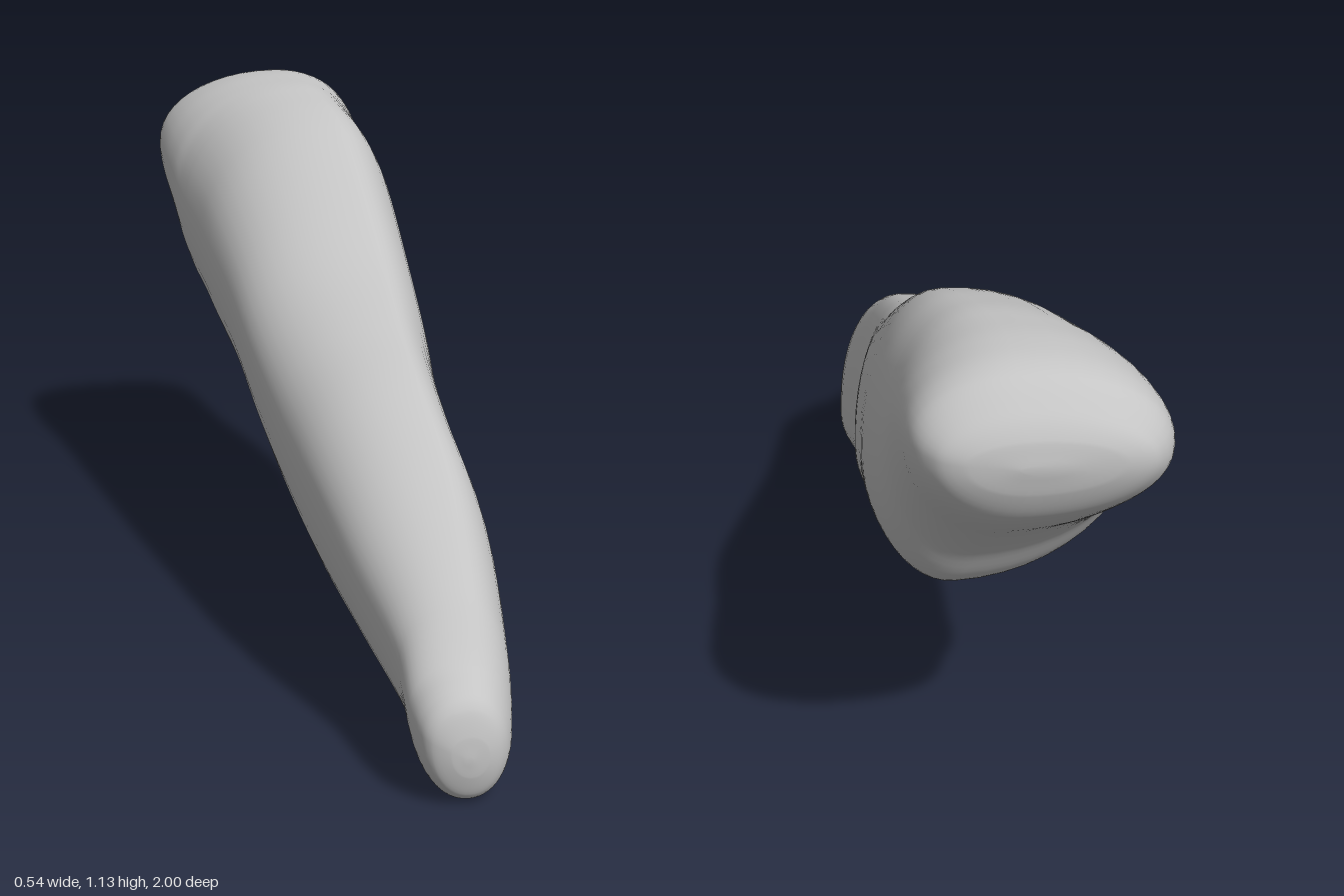
import * as THREE from 'three';

// Outline from the low front tip to the high back end:
// z, bottom y, top y, smallest x, largest x
const OUTLINE = [
  [1.0, 0.105, 0.12, 0.09, 0.105],
  [0.996, 0.07, 0.16, 0.06, 0.14],
  [0.98, 0.025, 0.21, 0.025, 0.17],
  [0.95, 0.005, 0.238, 0.008, 0.19],
  [0.9, 0.004, 0.27, 0.0, 0.208],
  [0.8, 0.03, 0.37, -0.005, 0.23],
  [0.6, 0.09, 0.54, -0.065, 0.25],
  [0.4, 0.14, 0.66, -0.11, 0.235],
  [0.2, 0.2, 0.74, -0.142, 0.238],
  [0.0, 0.275, 0.825, -0.17, 0.255],
  [-0.2, 0.36, 0.94, -0.192, 0.26],
  [-0.4, 0.41, 1.05, -0.218, 0.266],
  [-0.5, 0.44, 1.09, -0.23, 0.262],
  [-0.6, 0.485, 1.115, -0.247, 0.25],
  [-0.65, 0.53, 1.125, -0.255, 0.243],
  [-0.7, 0.61, 1.13, -0.264, 0.236],
  [-0.8, 0.71, 1.135, -0.275, 0.228],
  [-0.9, 0.79, 1.12, -0.27, 0.218],
  [-0.96, 0.85, 1.07, -0.235, 0.185],
  [-0.99, 0.91, 1.025, -0.17, 0.13],
  [-1.0, 0.96, 0.98, -0.04, 0.03],
];

// Where each section touches its bounds, from -1 to 1:
// z, height on +x side, ridge x, height on -x side, keel x
const TOUCH = [
  [1.0, 0.0, 0.0, 0.3, 0.1],
  [0.8, -0.3, 0.1, 0.3, 0.15],
  [0.6, -0.4, 0.25, 0.25, 0.2],
  [0.2, -0.4, 0.35, 0.25, 0.2],
  [0.0, -0.3, 0.36, 0.25, 0.2],
  [-0.4, -0.2, 0.32, 0.1, 0.3],
  [-0.6, -0.1, 0.25, 0.05, 0.4],
  [-0.75, 0.1, 0.2, 0.0, 0.3],
  [-1.0, 0.25, 0.2, -0.05, 0.1],
];

const SIDES = 48, STEPS = 5;

// Smooth interpolation of all columns of a table at a given z
function sample(table, z) {
  const end = table.length - 1;
  const i = Math.min(Math.max(table.findIndex((row) => row[0] <= z) - 1, 0), end - 1);
  const a = table[Math.max(i - 1, 0)], b = table[i];
  const c = table[i + 1], d = table[Math.min(i + 2, end)];
  const h = c[0] - b[0], t = (z - b[0]) / h, t2 = t * t, t3 = t2 * t;
  return [1, 2, 3, 4].map((k) => {
    const m0 = ((c[k] - a[k]) / (c[0] - a[0])) * h;
    const m1 = ((d[k] - b[k]) / (d[0] - b[0])) * h;
    return (2 * t3 - 3 * t2 + 1) * b[k] + (t3 - 2 * t2 + t) * m0
      + (3 * t2 - 2 * t3) * c[k] + (t3 - t2) * m1;
  });
}

const power = (v) => Math.sign(v) * Math.pow(Math.abs(v), 0.96);

function bodyGeometry() {
  const positions = [], indices = [];
  const spans = OUTLINE.length - 1, rows = spans * STEPS + 1;

  for (let r = 0; r < rows; r++) {
    const i = Math.min(Math.floor(r / STEPS), spans - 1);
    const z = THREE.MathUtils.lerp(OUTLINE[i][0], OUTLINE[i + 1][0], r / STEPS - i);
    const [bottom, top, left, right] = sample(OUTLINE, z);
    const [rightY, ridgeX, leftY, keelX] = sample(TOUCH, z);
    for (let j = 0; j < SIDES; j++) {
      const a = (j / SIDES) * Math.PI * 2;
      const c = power(Math.cos(a)), s = power(Math.sin(a));
      // Four quarter curves that meet at the touching points
      const ox = s > 0 ? ridgeX : keelX, oy = c > 0 ? rightY : leftY;
      const x = ox + c * (c > 0 ? 1 - ox : 1 + ox);
      const y = oy + s * (s > 0 ? 1 - oy : 1 + oy);
      positions.push(
        (left + right + x * (right - left)) / 2,
        (bottom + top + y * (top - bottom)) / 2,
        z,
      );
    }
  }

  // Skin between rings
  for (let r = 0; r < rows - 1; r++) {
    for (let j = 0; j < SIDES; j++) {
      const a = r * SIDES + j, b = r * SIDES + ((j + 1) % SIDES);
      indices.push(a, a + SIDES, b, b, a + SIDES, b + SIDES);
    }
  }

  // Close both ends
  const last = (rows - 1) * SIDES;
  for (let j = 1; j < SIDES - 1; j++) {
    indices.push(0, j, j + 1, last, last + j + 1, last + j);
  }

  const geometry = new THREE.BufferGeometry();
  geometry.setAttribute('position', new THREE.Float32BufferAttribute(positions, 3));
  geometry.setIndex(indices);
  geometry.computeVertexNormals();
  return geometry;
}

export function createModel() {
  const group = new THREE.Group();
  group.name = 'taperedBody';
  const grey = new THREE.MeshStandardMaterial({ color: 0xc4c4c4 });
  grey.name = 'light grey';
  const body = new THREE.Mesh(bodyGeometry(), grey);
  body.name = 'body';
  group.add(body);
  return group;
}
